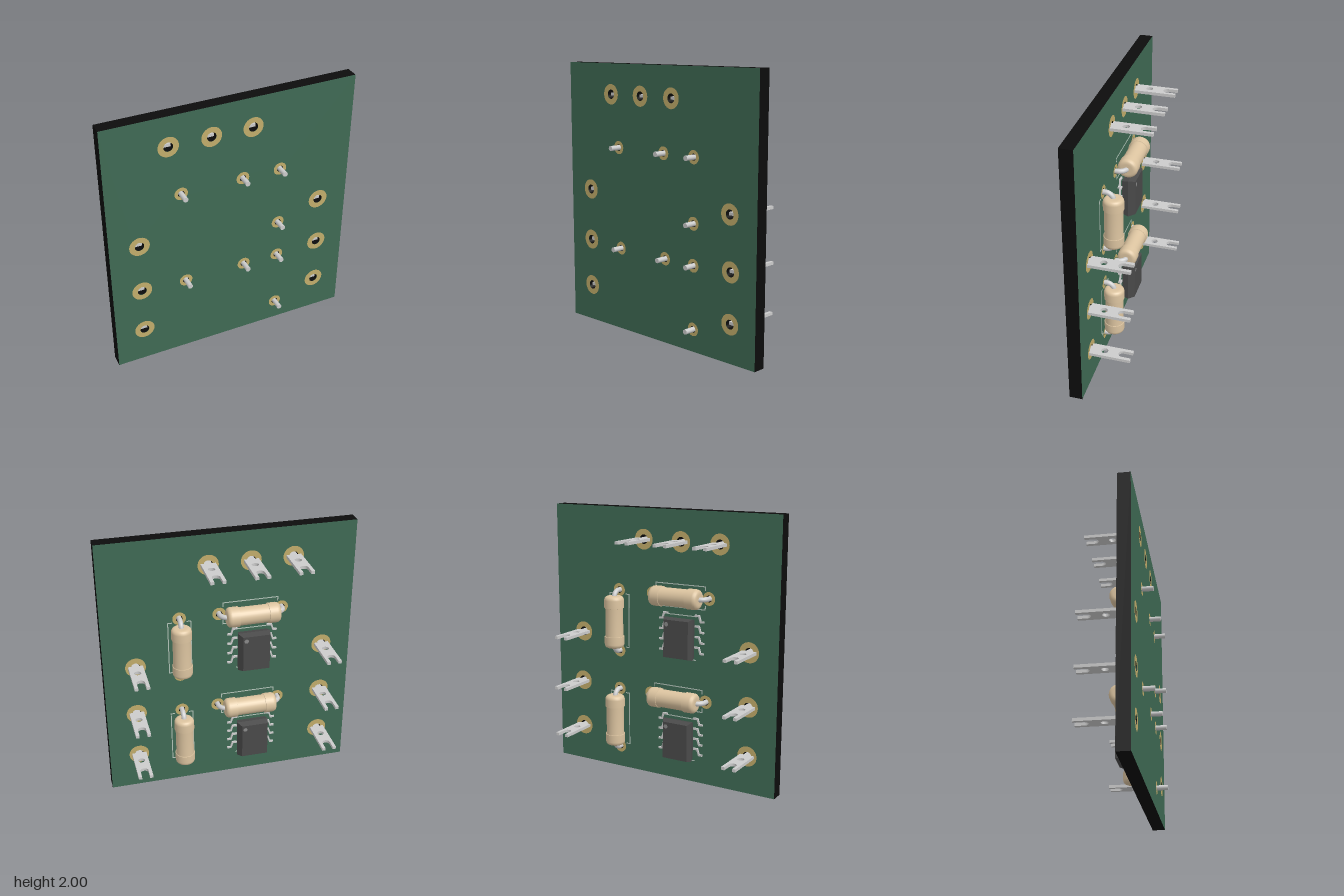
import * as THREE from 'three';

const V = (x, y, z) => new THREE.Vector3(x, y, z);
const mat = (color) => new THREE.MeshStandardMaterial({ color });
const metal = mat(0xcccccc), green = mat(0x3f6a54), black = mat(0x0c0c0c), gold = mat(0xc2ad6b);
const tan = mat(0xdcc4a0), dark = mat(0x4a4a4a), dot = mat(0x8a8a8a), silk = mat(0xb4c4ba);

const W = 1.85, H = 2, FRONT = 0.155, BACK = 0.06;
const terminals = [
  [-0.465, 1.775], [-0.157, 1.775], [0.15, 1.775],
  [-0.705, 1.04], [-0.707, 0.645], [-0.707, 0.28],
  [0.693, 1.037], [0.705, 0.645], [0.705, 0.28],
];
// centre x, centre y, upright?
const resistors = [[-0.155, 1.388, false], [0.365, 1.157, true], [-0.139, 0.63, false], [0.366, 0.397, true]];
const chips = [[-0.168, 1.09], [-0.165, 0.325]];
const PITCH = 0.231; // half distance between the two leads

function add(parent, name, geometry, material, x = 0, y = 0, z = 0) {
  const m = new THREE.Mesh(geometry, material);
  m.name = name;
  m.position.set(x, y, z);
  parent.add(m);
  return m;
}

function circlePath(x, y, r) {
  return new THREE.Path().absarc(x, y, r, 0, Math.PI * 2, true);
}

// Flat forked pin, drawn with its length along -z
function terminalGeometry() {
  const s = new THREE.Shape();
  s.moveTo(-0.026, -0.135);
  s.lineTo(0.026, -0.135);
  s.lineTo(0.026, -BACK);
  s.lineTo(0.054, -BACK);
  s.lineTo(0.054, 0.24);
  s.lineTo(0.029, 0.24);
  s.lineTo(0.029, 0.172);
  s.absarc(0, 0.172, 0.029, 0, Math.PI, true);
  s.lineTo(-0.029, 0.24);
  s.lineTo(-0.054, 0.24);
  s.lineTo(-0.054, -BACK);
  s.lineTo(-0.026, -BACK);
  s.closePath();
  s.holes.push(circlePath(0, 0.042, 0.025));
  return new THREE.ExtrudeGeometry(s, { depth: 0.022, bevelEnabled: false, curveSegments: 16 })
    .translate(0, 0, -0.011).rotateX(-Math.PI / 2);
}

// Axial body: two thick rounded end caps with a slimmer middle, along x
function resistorBodyGeometry() {
  const half = [[0.066, 0], [0.066, 0.106], [0.0735, 0.108], [0.0735, 0.108], [0.0735, 0.165],
    [0.071, 0.178], [0.064, 0.188], [0.053, 0.194], [0.04, 0.195], [0, 0.195]];
  const pts = [...half.slice(1).reverse().map(([r, h]) => [r, -h]), ...half.slice(1)];
  return new THREE.LatheGeometry(pts.map(([r, h]) => new THREE.Vector2(r, h)), 32).rotateZ(-Math.PI / 2);
}

// Wire leaving the body end and bending through the board
function leadGeometry() {
  const path = new THREE.CurvePath();
  const R = 0.055, zEnd = 0.253;
  path.add(new THREE.LineCurve3(V(0.15, 0, 0), V(PITCH - R, 0, 0)));
  path.add(new THREE.CubicBezierCurve3(V(PITCH - R, 0, 0), V(PITCH - R * 0.45, 0, 0),
    V(PITCH, 0, R * 0.45), V(PITCH, 0, R)));
  path.add(new THREE.LineCurve3(V(PITCH, 0, R), V(PITCH, 0, zEnd)));
  return new THREE.TubeGeometry(path, 36, 0.0185, 14);
}

// Gull-wing chip leg pointing to +x, extruded along y
function legGeometry() {
  const s = new THREE.Shape([[0.11, 0.045], [0.14, 0.045], [0.153, 0.003], [0.185, 0.003], [0.185, 0.016],
    [0.161, 0.016], [0.148, 0.059], [0.11, 0.059]].map(([x, y]) => new THREE.Vector2(x, y)));
  return new THREE.ExtrudeGeometry(s, { depth: 0.026, bevelEnabled: false })
    .translate(0, 0, -0.013).rotateX(-Math.PI / 2);
}

// Moulded chip body with drafted sides; z = height above the board
function chipBodyGeometry() {
  const g = new THREE.BoxGeometry(0.24, 0.3, 0.096, 1, 1, 2).toNonIndexed();
  const p = g.attributes.position;
  for (let i = 0; i < p.count; i++) {
    const z = p.getZ(i), x = p.getX(i), inset = Math.abs(z) > 0.01 ? 0.012 : 0;
    // pin-one edge carries a wider chamfer on the outer face
    const extra = z > 0.01 && x > 0 ? 0.016 : 0;
    p.setX(i, x - Math.sign(x) * (inset + extra));
    p.setY(i, p.getY(i) - Math.sign(p.getY(i)) * inset);
  }
  g.computeVertexNormals();
  return g.translate(0, 0, 0.058);
}

export function createModel() {
  const model = new THREE.Group();
  model.name = 'circuitBoard';

  // All drilled holes: big ones for pins, small ones for wires
  const holes = terminals.map(([x, y]) => ({ x, y, r: 0.034, pad: 0.075 }));
  for (const [x, y, up] of resistors) {
    for (const s of [-1, 1]) {
      holes.push({ x: x + (up ? 0 : s * PITCH), y: y + (up ? s * PITCH : 0), r: 0.024, pad: 0.049 });
    }
  }

  // Board with green faces and black edges
  const outline = new THREE.Shape([[-W / 2, 0], [W / 2, 0], [W / 2, H], [-W / 2, H]]
    .map(([x, y]) => new THREE.Vector2(x, y)));
  for (const h of holes) outline.holes.push(circlePath(h.x, h.y, h.r));
  add(model, 'board', new THREE.ExtrudeGeometry(outline,
    { depth: FRONT - BACK, bevelEnabled: false, curveSegments: 24 }), [green, black], 0, 0, BACK);

  // Copper rings on both faces
  for (const h of holes) {
    const ring = new THREE.RingGeometry(h.r, h.pad, 36);
    add(model, 'frontPad', ring, gold, h.x, h.y, FRONT + 0.002);
    add(model, 'backPad', ring, gold, h.x, h.y, BACK - 0.002).rotation.y = Math.PI;
  }

  // Forked pins
  const pin = terminalGeometry();
  for (const [x, y] of terminals) add(model, 'terminal', pin, metal, x, y, 0);

  // Resistors with printed outlines
  const body = resistorBodyGeometry(), lead = leadGeometry(), tip = new THREE.CircleGeometry(0.0185, 14);
  for (const [x, y, up] of resistors) {
    const g = new THREE.Group();
    g.name = 'resistor';
    g.position.set(x, y, -0.0135);
    if (up) g.rotation.z = Math.PI / 2;
    add(g, 'resistorBody', body, tan);
    for (const s of [-1, 1]) {
      add(g, 'lead', lead, metal).rotation.z = s < 0 ? Math.PI : 0;
      add(g, 'leadTip', tip, metal, s * PITCH, 0, 0.253);
      const z = BACK + 0.0135 - 0.001;
      add(g, 'printedLine', new THREE.BoxGeometry(0.41, 0.007, 0.002), silk, 0, s * 0.083, z);
      add(g, 'printedLine', new THREE.BoxGeometry(0.007, 0.03, 0.002), silk, s * 0.202, 0.068, z);
      add(g, 'printedLine', new THREE.BoxGeometry(0.007, 0.03, 0.002), silk, s * 0.202, -0.068, z);
    }
    model.add(g);
  }

  // Eight-legged chips, turned to face backwards
  const chipBody = chipBodyGeometry(), leg = legGeometry().rotateX(Math.PI / 2);
  for (const [x, y] of chips) {
    const g = new THREE.Group();
    g.name = 'chip';
    g.position.set(x, y, BACK);
    g.rotation.y = Math.PI;
    add(g, 'chipBody', chipBody, dark).scale.x = -1;
    add(g, 'pinOneMark', new THREE.CircleGeometry(0.016, 20), dot, -0.068, 0.105, 0.107);
    for (const s of [-1, 1]) {
      for (let i = 0; i < 4; i++) {
        add(g, 'chipLeg', leg, metal, 0, (i - 1.5) * 0.0775, 0).rotation.y = 0;
        if (s < 0) g.children[g.children.length - 1].scale.x = -1;
      }
      add(g, 'printedLine', new THREE.BoxGeometry(0.24, 0.007, 0.002), silk, 0, s * 0.16, 0.001);
    }
    model.add(g);
  }
  return model;
}
